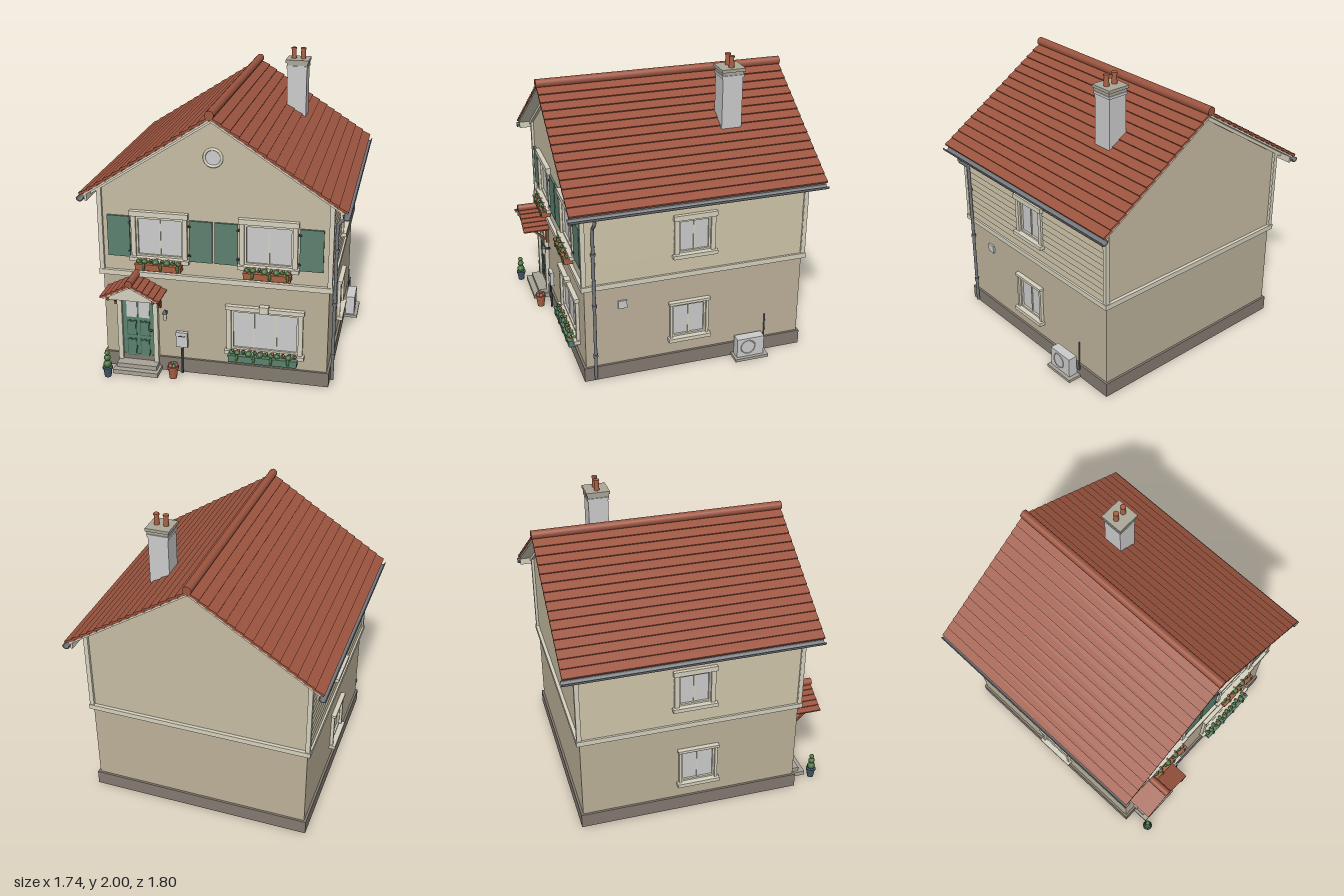
import * as THREE from 'three';

const COL = {
  grey: 0xcccccc, wall: 0xc6bca2, lower: 0xbcb199, trim: 0xd6d1be, plinth: 0x837a70, tile: 0x9c543f,
  green: 0x5b806e, dark: 0x3f6655, gutter: 0x75787c, cap: 0xaba798, terra: 0xa85f42,
  leaf: 0x47703c, bloom: 0xb04a4a, iron: 0x3a3d40, wood: 0x8a5136, blue: 0x3f5766, stone: 0xa9a498,
};
const mats = {};
const mat = (c) => (mats[c] ??= new THREE.MeshStandardMaterial({ color: COL[c], side: THREE.DoubleSide }));
const CZ = -0.045; // centre of the square floor plan

function add(parent, name, geo, c, x = 0, y = 0, z = 0) {
  const m = new THREE.Mesh(geo, mat(c));
  m.name = name;
  m.position.set(x, y, z);
  parent.add(m);
  return m;
}
// box given by its extents on each axis
const box = (p, name, c, x0, x1, y0, y1, z0, z1) =>
  add(p, name, new THREE.BoxGeometry(x1 - x0, y1 - y0, z1 - z0), c, (x0 + x1) / 2, (y0 + y1) / 2, (z0 + z1) / 2);
const cyl = (p, name, c, rt, rb, h, x, y, z, n = 16) =>
  add(p, name, new THREE.CylinderGeometry(rt, rb, h, n), c, x, y + h / 2, z);
const ball = (p, name, c, r, x, y, z) => add(p, name, new THREE.IcosahedronGeometry(r, 1), c, x, y, z);
const group = (p, name, x = 0, y = 0, z = 0, ry = 0) => {
  const g = new THREE.Group();
  g.name = name;
  g.position.set(x, y, z);
  g.rotation.y = ry;
  p.add(g);
  return g;
};
const poly = (pts) => new THREE.Shape(pts.map((q) => new THREE.Vector2(...q)));
const rect = (a, b, c, d) => poly([[a, c], [b, c], [b, d], [a, d]]);
const extrude = (shape, depth) => new THREE.ExtrudeGeometry(shape, { depth, bevelEnabled: false, curveSegments: 16 });

// square collar running round the house
function ring(p, name, c, outer, inner, y0, y1) {
  const s = rect(-outer, outer, -outer, outer);
  s.holes.push(rect(-inner, inner, -inner, inner));
  add(p, name, extrude(s, y1 - y0), c, 0, y0, CZ).rotation.x = -Math.PI / 2;
}

// wall panel with openings; its outer face lies on z = 0
function wall(p, name, c, pts, holes) {
  const s = poly(pts);
  holes.forEach((h) => s.holes.push(h));
  add(p, name, extrude(s, 0.03), c, 0, 0, -0.03);
}

// framed window: glass, casing, mullions, head and sill
function windowUnit(p, u, w, y0, y1, { bars = 1, edge = 0.03, head = 0.035 } = {}) {
  const g = group(p, 'window', u), h = w / 2;
  box(g, 'glass', 'grey', -h, h, y0, y1, -0.024, -0.008);
  for (const s of [-1, 1]) {
    box(g, 'casing', 'trim', s * (h + edge / 2) - edge / 2, s * (h + edge / 2) + edge / 2, y0, y1 + 0.012, -0.03, 0.022);
    box(g, 'sashStile', 'trim', s * (h - 0.006) - 0.006, s * (h - 0.006) + 0.006, y0, y1, -0.028, 0.006);
  }
  for (const y of [y0, y1 - 0.012]) box(g, 'sashRail', 'trim', -h, h, y, y + 0.012, -0.028, 0.006);
  for (let i = 1; i <= bars; i++) {
    const x = -h + (w * i) / (bars + 1);
    box(g, 'mullion', 'trim', x - 0.005, x + 0.005, y0, y1, -0.026, -0.002);
  }
  box(g, 'head', 'trim', -h - edge - 0.008, h + edge + 0.008, y1 + 0.01, y1 + 0.01 + head, -0.03, 0.032);
  box(g, 'sill', 'trim', -h - edge - 0.012, h + edge + 0.012, y0 - 0.026, y0, -0.03, 0.042);
  return g;
}

// planter with foliage, blooms and trailing stems
function flowerBox(p, u, w, y0, y1, c) {
  const g = group(p, 'flowerBox', u);
  box(g, 'planter', c, -w / 2, w / 2, y0, y1, 0.008, 0.07);
  box(g, 'planterRim', c, -w / 2 - 0.004, w / 2 + 0.004, y1 - 0.01, y1, 0.006, 0.075);
  const n = Math.round(w / 0.038);
  for (let i = 0; i < n; i++) {
    const x = -w / 2 + ((i + 0.5) * w) / n, v = Math.sin(i * 2.7);
    ball(g, 'foliage', 'leaf', 0.019 + 0.003 * v, x, y1 + 0.008, 0.04 + 0.01 * v);
    ball(g, 'bloom', i % 2 ? 'bloom' : 'leaf', 0.01, x + 0.008, y1 + 0.024, 0.045 - 0.01 * v);
    if (i % 3 === 1) ball(g, 'trailingPlant', 'leaf', 0.013, x, y1 - 0.014, 0.074).scale.set(0.8, 2, 0.6);
  }
}

// two tiled slopes of overlapping courses with a round ridge
function tiledRoof(p, name, x, yApex, z, half, rise, depth, rows, t, ridgeR) {
  const roof = group(p, name, x, yApex, z), a = Math.atan2(rise, half), L = Math.hypot(half, rise), step = L / rows;
  for (const ry of [0, Math.PI]) {
    const slope = group(group(roof, 'roofSide', 0, 0, 0, ry), 'roofSlope');
    slope.rotation.z = -a;
    box(slope, 'roofDeck', 'trim', 0, L - 0.01, 0, t * 0.8, -depth / 2 + 0.004, depth / 2 - 0.004);
    for (let i = 0; i < rows; i++) {
      const m = add(slope, 'tileCourse', new THREE.BoxGeometry(step * 1.12, t, depth), 'tile', (i + 0.5) * step, t * 1.4, 0);
      m.rotation.z = (t * 0.6) / step;
    }
  }
  add(roof, 'ridgeTile', new THREE.CylinderGeometry(ridgeR, ridgeR, depth + 0.008, 14), 'tile', 0, t * 2.6, 0).rotation.x = Math.PI / 2;
}

function pot(p, c, x, z, r, h) {
  const g = group(p, 'plantPot', x, 0, z);
  cyl(g, 'potBody', c, r * 0.9, r * 0.65, h, 0, 0, 0);
  cyl(g, 'potRim', c, r, r, h * 0.18, 0, h * 0.85, 0);
  return g;
}

export function createModel() {
  const house = new THREE.Group();
  house.name = 'house';
  const sides = ['front', 'right', 'back', 'left'];
  // openings per side: [u, width, y0, y1]
  const low = [[[0.335, 0.44, 0.21, 0.49], [-0.517, 0.215, 0.101, 0.525]], [[-0.045, 0.23, 0.225, 0.465]], [], [[0.045, 0.23, 0.225, 0.465]]];
  const up = [[[-0.355, 0.31, 0.82, 1.09], [0.355, 0.31, 0.82, 1.09]], [[-0.015, 0.215, 0.845, 1.075]], [], [[0.015, 0.215, 0.845, 1.075]]];
  const hole = ([u, w, a, b]) => rect(u - w / 2, u + w / 2, a, b);

  // masonry, one turn per side
  const faces = sides.map((n, k) => {
    const f = group(group(house, n + 'Side', 0, 0, CZ, (k * Math.PI) / 2), n + 'Face', 0, 0, 0.745);
    const e = k % 2 ? 0.743 : 0.745;
    wall(f, 'lowerWall', 'lower', [[-e, 0.09], [e, 0.09], [e, 0.69], [-e, 0.69]], low[k].map(hole));
    const top = k % 2 ? [[e, 1.285], [-e, 1.285]] : [[e, 1.285], [0, 1.767], [-e, 1.285]];
    const holes = up[k].map(hole);
    if (k === 0) holes.push(new THREE.Path().absarc(0, 1.515, 0.05, 0, Math.PI * 2));
    wall(f, 'upperWall', 'wall', [[-e, 0.69], [e, 0.69], ...top], holes);
    box(f, 'cornerBoard', 'trim', 0.735, 0.763, 0.7, 1.27, -0.012, 0.018);
    box(f, 'cornerBoard', 'trim', -0.761, -0.735, 0.7, 1.27, -0.012, 0.018);
    if (k % 2) {
      // overlapping weatherboards, broken at the window
      const [u, w, a, b] = up[k][0];
      for (let i = 0; i < 13; i++) {
        const y = 0.71 + i * 0.044, cut = y + 0.044 > a && y < b;
        const runs = cut ? [[-0.74, u - w / 2], [u + w / 2, 0.74]] : [[-0.74, 0.74]];
        for (const [x0, x1] of runs) box(f, 'weatherboard', 'wall', x0, x1, y, y + 0.047, -0.002, 0.007).rotation.x = -0.13;
      }
      windowUnit(f, ...low[k][0], { edge: 0.018, head: 0.018 });
      windowUnit(f, ...up[k][0], { edge: 0.03 });
    } else {
      // raking boards under the gable
      for (const s of [-1, 1]) {
        const rake = poly([[0, 1.77], [s * 0.8, 1.253], [s * 0.8, 1.228], [0, 1.745]]);
        add(f, 'bargeBoard', extrude(rake, 0.018), 'trim');
      }
    }
    return f;
  });
  ring(house, 'plinth', 'plinth', 0.76, 0.71, 0, 0.1);
  ring(house, 'floorBand', 'trim', 0.768, 0.735, 0.675, 0.71);

  // front windows, shutters and planters
  const front = faces[0];
  for (const o of up[0]) {
    windowUnit(front, ...o, { bars: 1 });
    flowerBox(front, o[0], 0.3, 0.745, 0.79, 'terra');
    for (const s of [-1, 1]) {
      const x = o[0] + s * 0.272;
      box(front, 'shutter', 'green', x - 0.075, x + 0.075, 0.81, 1.09, 0, 0.014);
      for (const y of [0.85, 1.05]) box(front, 'shutterHinge', 'iron', x - s * 0.075 - 0.01, x - s * 0.075 + 0.01, y - 0.006, y + 0.006, 0, 0.02);
    }
  }
  windowUnit(front, ...low[0][0], { bars: 2, head: 0.028 });
  box(front, 'keystone', 'trim', 0.302, 0.362, 0.495, 0.543, 0, 0.04);
  flowerBox(front, 0.33, 0.45, 0.145, 0.195, 'green');

  // round gable window
  add(front, 'roundGlass', new THREE.CylinderGeometry(0.052, 0.052, 0.015, 32), 'grey', 0, 1.515, -0.005).rotation.x = Math.PI / 2;
  add(front, 'roundFrame', new THREE.TorusGeometry(0.056, 0.009, 8, 32), 'trim', 0, 1.515, 0.004);

  // front door, steps and porch
  const porch = group(front, 'porch', -0.517);
  box(porch, 'door', 'green', -0.108, 0.108, 0.06, 0.525, -0.02, 0.012);
  for (const s of [-1, 1]) {
    box(porch, 'doorJamb', 'trim', s * 0.123 - 0.016, s * 0.123 + 0.016, 0.06, 0.53, -0.03, 0.03);
    box(porch, 'doorLight', 'grey', s * 0.042 - 0.036, s * 0.042 + 0.036, 0.375, 0.495, -0.024, 0.016);
    for (const [a, b] of [[0.085, 0.215], [0.24, 0.35]]) {
      box(porch, 'doorPanelEdge', 'dark', s * 0.045 - 0.034, s * 0.045 + 0.034, a, b, -0.022, 0.015);
      box(porch, 'doorPanel', 'green', s * 0.045 - 0.027, s * 0.045 + 0.027, a + 0.008, b - 0.008, 0.01, 0.019);
    }
    box(porch, 'bracketPost', 'wood', s * 0.15 - 0.009, s * 0.15 + 0.009, 0.46, 0.575, 0, 0.018);
    box(porch, 'bracketArm', 'wood', s * 0.15 - 0.009, s * 0.15 + 0.009, 0.56, 0.578, 0, 0.17);
    const brace = box(porch, 'bracketBrace', 'wood', s * 0.15 - 0.007, s * 0.15 + 0.007, 0.513, 0.527, -0.015, 0.125);
    brace.rotation.x = -0.75;
  }
  box(porch, 'doorHead', 'trim', -0.145, 0.145, 0.525, 0.56, -0.03, 0.034);
  ball(porch, 'doorKnob', 'iron', 0.009, 0.09, 0.29, 0.022);
  box(porch, 'lowerStep', 'stone', -0.152, 0.157, 0, 0.03, 0, 0.13);
  box(porch, 'upperStep', 'stone', -0.135, 0.14, 0.03, 0.06, -0.03, 0.09);
  add(porch, 'porchGable', extrude(poly([[-0.165, 0.565], [0.165, 0.565], [0.165, 0.578], [0, 0.664], [-0.165, 0.578]]), 0.16), 'trim', 0, 0, 0.005);
  tiledRoof(porch, 'porchRoof', 0, 0.662, 0.09, 0.187, 0.095, 0.19, 5, 0.012, 0.025);

  // wall lantern and letter box
  const lamp = group(front, 'lantern', -0.322, 0, 0.045);
  box(lamp, 'lanternArm', 'iron', -0.006, 0.006, 0.425, 0.437, -0.045, 0);
  cyl(lamp, 'lanternGlass', 'trim', 0.016, 0.01, 0.05, 0, 0.39, 0, 6);
  cyl(lamp, 'lanternCap', 'iron', 0.004, 0.02, 0.026, 0, 0.44, 0, 6);
  box(front, 'letterBoxPost', 'iron', -0.221, -0.209, 0, 0.2, 0.022, 0.034);
  box(front, 'letterBox', 'grey', -0.255, -0.177, 0.195, 0.302, 0.01, 0.036);
  box(front, 'letterBoxFlap', 'iron', -0.24, -0.192, 0.272, 0.278, 0.03, 0.039);

  // potted plants
  const flowers = pot(house, 'terra', -0.26, 0.8, 0.038, 0.085);
  for (let i = 0; i < 6; i++) ball(flowers, 'bloom', i % 2 ? 'leaf' : 'bloom', 0.015, 0.021 * Math.cos(i * 1.05), 0.095, 0.021 * Math.sin(i * 1.05));
  const topiary = pot(house, 'blue', -0.69, 0.868, 0.034, 0.068);
  cyl(topiary, 'stem', 'wood', 0.005, 0.005, 0.11, 0, 0.06, 0, 6);
  [[0.028, 0.092], [0.023, 0.137], [0.017, 0.172]].forEach(([r, y]) => ball(topiary, 'topiaryBall', 'leaf', r, 0, y, 0));

  // main roof, fascia and gutters
  tiledRoof(house, 'mainRoof', 0, 1.77, CZ, 0.832, 0.538, 1.69, 15, 0.015, 0.029);
  const trough = new THREE.Shape();
  trough.absarc(0, 0, 0.025, Math.PI, Math.PI * 2, false);
  trough.absarc(0, 0, 0.019, Math.PI * 2, Math.PI, true);
  for (const s of [-1, 1]) {
    add(house, 'gutter', extrude(trough, 1.7), 'gutter', s * 0.843, 1.228, CZ - 0.85);
    box(house, 'fascia', 'trim', s * 0.81 - 0.007, s * 0.81 + 0.007, 1.205, 1.25, CZ - 0.835, CZ + 0.835);
  }

  // chimney with two pots
  const chimney = group(house, 'chimney', 0.363, 0, -0.387);
  box(chimney, 'stack', 'grey', -0.068, 0.068, 1.4, 1.89, -0.068, 0.068);
  box(chimney, 'collar', 'grey', -0.074, 0.074, 1.865, 1.882, -0.074, 0.074);
  box(chimney, 'chimneyCap', 'cap', -0.08, 0.08, 1.905, 1.925, -0.08, 0.08);
  box(chimney, 'capNeck', 'cap', -0.072, 0.072, 1.885, 1.906, -0.072, 0.072);
  for (const x of [-0.032, 0.032]) {
    cyl(chimney, 'chimneyPot', 'terra', 0.015, 0.018, 0.075, x, 1.925, 0);
    cyl(chimney, 'potLip', 'terra', 0.019, 0.019, 0.012, x, 1.988, 0);
  }

  // downpipe, vent and outdoor unit on the right side
  const path = [[0.843, 1.205], [0.843, 1.18], [0.78, 1.12], [0.775, 1.08], [0.775, 0.6], [0.775, 0.02]];
  const curve = new THREE.CatmullRomCurve3(path.map(([x, y]) => new THREE.Vector3(x, y, 0.642)), false, 'catmullrom', 0.1);
  add(house, 'downpipe', new THREE.TubeGeometry(curve, 60, 0.011, 10), 'gutter');
  for (const y of [0.19, 0.56, 0.93]) cyl(house, 'pipeCollar', 'gutter', 0.016, 0.016, 0.018, 0.775, y, 0.642);
  box(house, 'airVent', 'grey', 0.74, 0.758, 0.51, 0.565, 0.422, 0.48);
  box(house, 'unitBase', 'stone', 0.755, 0.855, 0, 0.02, -0.54, -0.305);
  box(house, 'outdoorUnit', 'grey', 0.768, 0.832, 0.02, 0.158, -0.512, -0.322);
  add(house, 'unitFan', new THREE.TorusGeometry(0.05, 0.004, 6, 24), 'grey', 0.832, 0.09, -0.4).rotation.y = Math.PI / 2;
  cyl(house, 'unitPipe', 'gutter', 0.005, 0.005, 0.22, 0.765, 0.065, -0.538, 8);
  box(house, 'unitPipeLink', 'gutter', 0.76, 0.77, 0.062, 0.072, -0.54, -0.505);
  return house;
}
